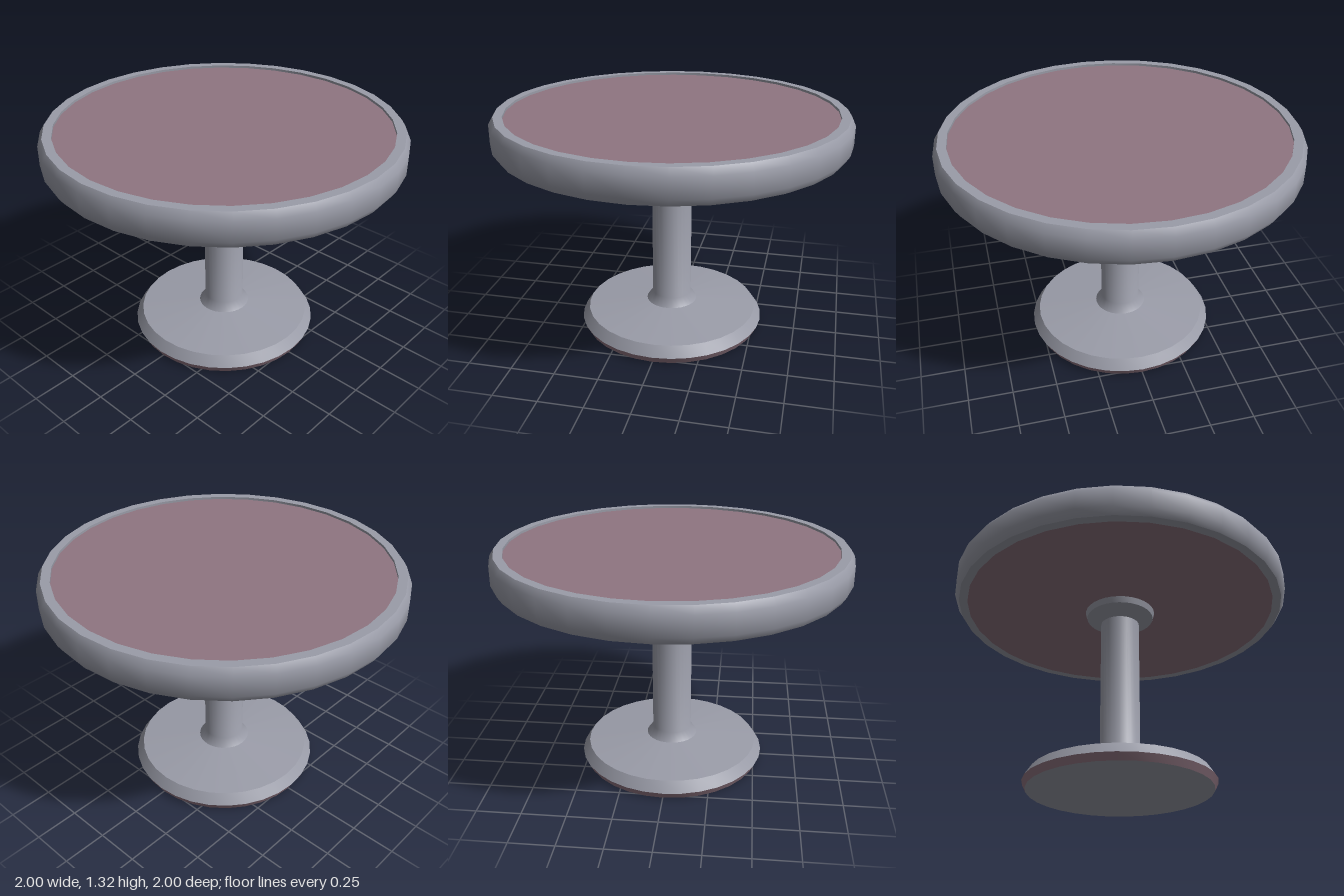
import * as THREE from 'three';
import { toCreasedNormals } from 'three/addons/utils/BufferGeometryUtils.js';

const SEGMENTS = 32;

export function createModel() {
  const group = new THREE.Group();
  const metal = new THREE.MeshStandardMaterial({ color: 0x9a9ca8 });
  metal.name = 'grey metal';
  const mauve = new THREE.MeshStandardMaterial({ color: 0x8f7581 });
  mauve.name = 'dusty mauve';

  // Revolve a profile of [radius, height] points, keeping sharp edges
  function turned(name, material, profile) {
    const points = profile.map(([r, y]) => new THREE.Vector2(r, y));
    const geometry = toCreasedNormals(new THREE.LatheGeometry(points, SEGMENTS), 0.72);
    const mesh = new THREE.Mesh(geometry, material);
    mesh.name = name;
    group.add(mesh);
  }

  // Flat disc facing up or down
  function disc(name, material, radius, y, up) {
    const geometry = new THREE.CircleGeometry(radius, SEGMENTS);
    geometry.rotateX(up ? -Math.PI / 2 : Math.PI / 2);
    const mesh = new THREE.Mesh(geometry, material);
    mesh.name = name;
    mesh.position.y = y;
    group.add(mesh);
  }

  // Foot: grey sole and mauve lower band
  disc('footSole', metal, 0.525, 0, false);
  turned('footBand', mauve, [[0.525, 0], [0.545, 0.04]]);

  // Foot plate, column and flared collar under the top
  turned('pedestal', metal, [
    [0.545, 0.04], [0.505, 0.1], [0.15, 0.135], [0.115, 0.185],
    [0.115, 1.05], [0.2, 1.095], [0.21, 1.131],
  ]);

  // Bevelled rim with a shallow lip around the inset top
  turned('tableRim', metal, [
    [0.925, 1.131], [0.975, 1.131], [1, 1.17], [1, 1.279],
    [0.975, 1.317], [0.925, 1.317], [0.925, 1.303],
  ]);

  // Inset surfaces
  disc('tableTop', mauve, 0.925, 1.303, true);
  disc('tableUnderside', mauve, 0.925, 1.131, false);

  return group;
}
